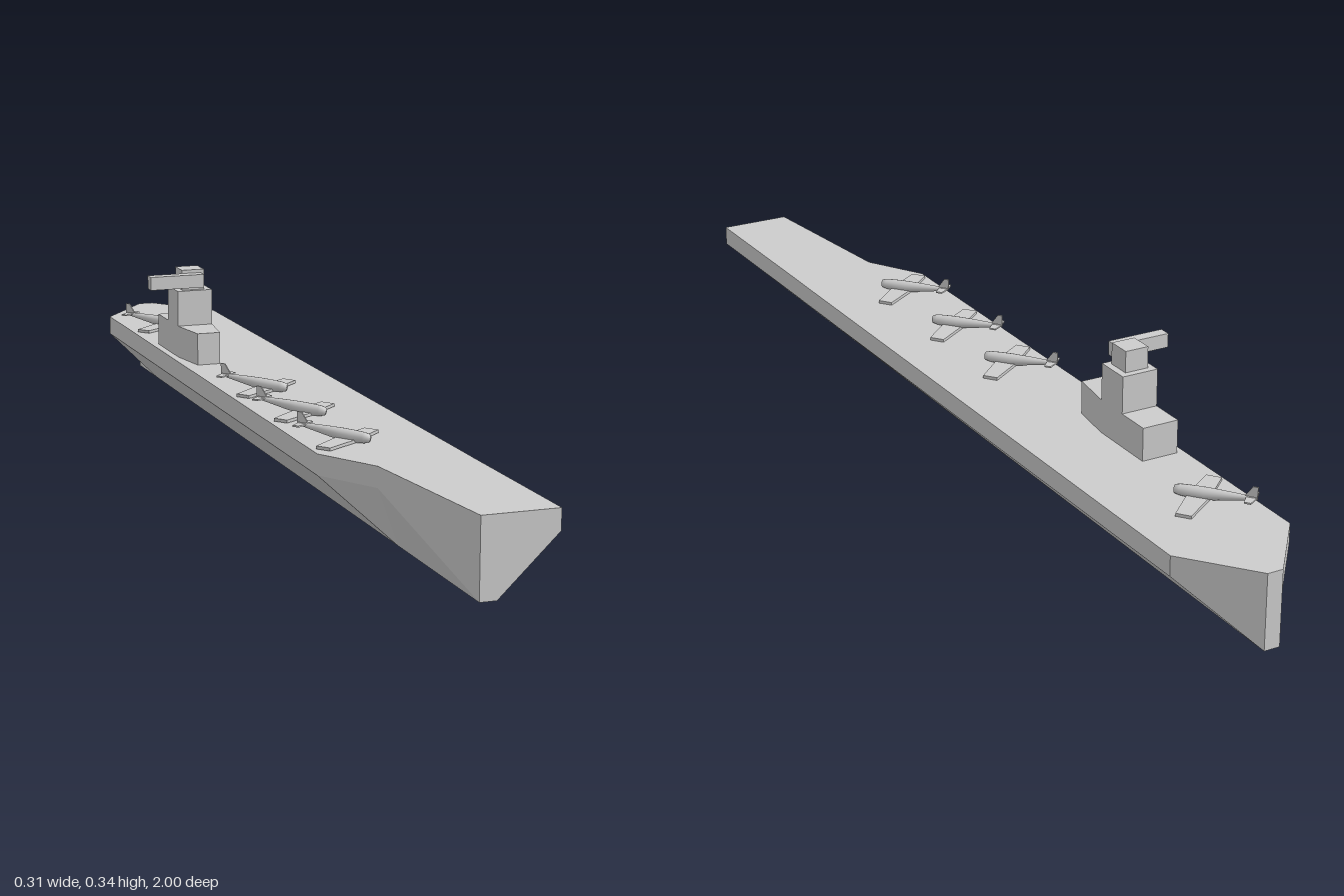
import * as THREE from 'three';

const flat = new THREE.MeshStandardMaterial({ color: 0xcccccc, flatShading: true });
const smooth = new THREE.MeshStandardMaterial({ color: 0xcccccc });

function add(parent, name, geometry, material = flat) {
  const mesh = new THREE.Mesh(geometry, material);
  mesh.name = name;
  parent.add(mesh);
  return mesh;
}

// Skin over cross-sections running along +z, each a counter-clockwise loop of [x, y], closed at both ends.
function loft(sections) {
  const pos = [];
  const n = sections[0].pts.length;
  const put = (s, i) => pos.push(...s.pts[i % n], s.z);
  for (let k = 0; k < sections.length - 1; k++) {
    const a = sections[k], b = sections[k + 1];
    for (let i = 0; i < n; i++) {
      put(a, i); put(a, i + 1); put(b, i + 1);
      put(a, i); put(b, i + 1); put(b, i);
    }
  }
  const first = sections[0], last = sections[sections.length - 1];
  for (let i = 1; i < n - 1; i++) {
    put(last, 0); put(last, i); put(last, i + 1);
    put(first, 0); put(first, i + 1); put(first, i);
  }
  const g = new THREE.BufferGeometry();
  g.setAttribute('position', new THREE.Float32BufferAttribute(pos, 3));
  g.computeVertexNormals();
  return g;
}

// Box given by its low and high corners
function box(x0, x1, y0, y1, z0, z1) {
  return new THREE.BoxGeometry(x1 - x0, y1 - y0, z1 - z0)
    .translate((x0 + x1) / 2, (y0 + y1) / 2, (z0 + z1) / 2);
}

// Horizontal surface tapering towards both tips
function wingGeometry(half, root, tip, thick, y, z) {
  const shape = new THREE.Shape([
    [0, root / 2], [-half, tip / 2], [-half, -tip / 2],
    [0, -root / 2], [half, -tip / 2], [half, tip / 2],
  ].map(([x, v]) => new THREE.Vector2(x, v)));
  return new THREE.ExtrudeGeometry(shape, { depth: thick, bevelEnabled: false })
    .rotateX(-Math.PI / 2).translate(0, y, z);
}

// Aircraft with its nose at the origin, pointing to +z, standing on y = 0
function createPlane() {
  const plane = new THREE.Group();
  plane.name = 'aircraft';
  const profile = [
    [0, -0.157], [0.003, -0.155], [0.006, -0.125], [0.0095, -0.09], [0.012, -0.06],
    [0.012, -0.035], [0.0105, -0.012], [0.008, -0.002], [0, 0],
  ].map(([r, y]) => new THREE.Vector2(r, y));
  const body = new THREE.LatheGeometry(profile, 14).rotateX(Math.PI / 2);
  // lift the tail
  const p = body.attributes.position;
  for (let i = 0; i < p.count; i++) {
    p.setY(i, p.getY(i) + 0.0115 + 0.009 * Math.max(0, (-p.getZ(i) - 0.05) / 0.107));
  }
  body.computeVertexNormals();
  add(plane, 'fuselage', body, smooth);
  add(plane, 'wing', wingGeometry(0.085, 0.042, 0.03, 0.006, 0.001, -0.048));
  add(plane, 'tailplane', wingGeometry(0.025, 0.02, 0.013, 0.003, 0.019, -0.146));
  const fin = new THREE.Shape([
    [0.13, 0.018], [0.157, 0.018], [0.158, 0.043], [0.148, 0.043],
  ].map(([x, y]) => new THREE.Vector2(x, y)));
  add(plane, 'tailFin', new THREE.ExtrudeGeometry(fin, { depth: 0.003, bevelEnabled: false })
    .translate(0, 0, -0.0015).rotateY(Math.PI / 2));
  return plane;
}

export function createModel() {
  const model = new THREE.Group();
  model.name = 'aircraftCarrier';

  // Hull: upright sides under the deck, then slanting in to a narrow keel
  const deck = 0.15, chine = 0.11;
  const outline = [ // z, edge at -x, edge at +x
    [-1, 0.005, 0.037], [-0.865, -0.105, 0.145], [0.52, -0.105, 0.15],
    [0.64, -0.035, 0.15], [1, 0.005, 0.152],
  ];
  add(model, 'hull', loft(outline.map(([z, l, r]) => ({
    z,
    pts: [[0.005, 0], [0.037, 0], [r, chine], [r, deck], [l, deck], [l, chine]],
  }))));

  // Island
  const island = new THREE.Group();
  island.name = 'island';
  model.add(island);
  const base = [[-0.525, -0.09, -0.014], [-0.378, -0.09, -0.014], [-0.285, -0.076, -0.027]];
  add(island, 'islandBase', loft(base.map(([z, l, r]) => ({
    z, pts: [[l, deck], [r, deck], [r, 0.217], [l, 0.217]],
  }))));
  add(island, 'tower', box(-0.09, -0.014, 0.217, 0.292, -0.452, -0.378));
  add(island, 'towerTop', box(-0.077, -0.028, 0.292, 0.335, -0.438, -0.389));
  add(island, 'crossArm', box(-0.153, -0.036, 0.3, 0.328, -0.389, -0.365));

  // Aircraft parked at an angle along one side of the deck
  for (const z of [-0.667, 0.03, 0.254, 0.487]) {
    const plane = createPlane();
    plane.position.set(0.01, deck, z);
    plane.rotation.y = 0.657;
    model.add(plane);
  }
  return model;
}
